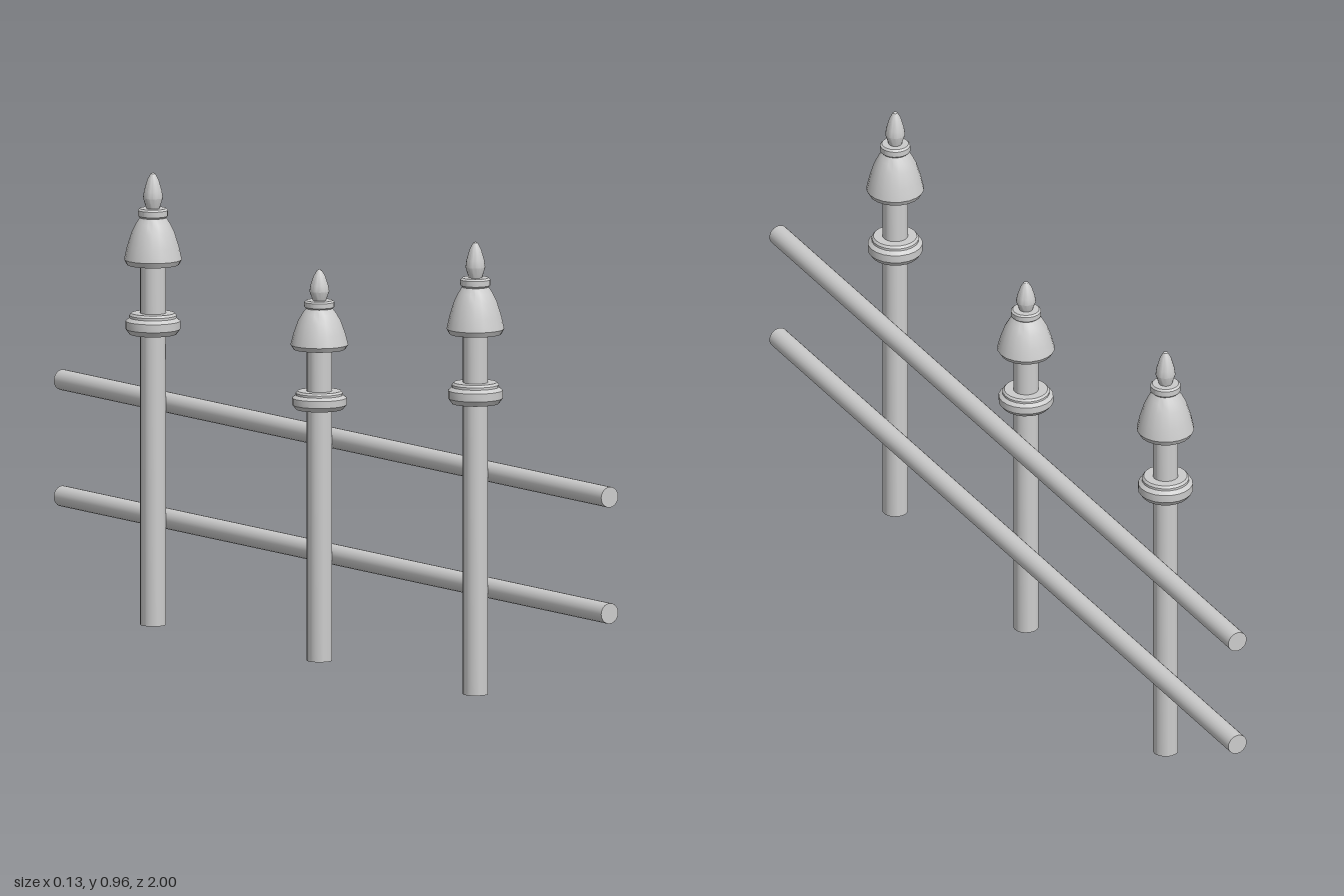
import * as THREE from 'three';
import { toCreasedNormals } from 'three/addons/utils/BufferGeometryUtils.js';

const material = new THREE.MeshStandardMaterial({ color: 0xcccccc });

// Closed profiles as [radius, height], listed from bottom to top
const POST_PARTS = {
  shaft: [[0, 0], [0.027, 0], [0.027, 0.78], [0, 0.78]],
  ring: [[0, 0.62], [0.05, 0.62], [0.058, 0.631], [0.058, 0.648], [0.05, 0.655], [0.05, 0.66], [0.046, 0.665], [0, 0.665]],
  bellCap: [[0, 0.768], [0.055, 0.768], [0.061, 0.779], [0.055, 0.806], [0.045, 0.838], [0.036, 0.856], [0.027, 0.87], [0, 0.87]],
  collar: [[0, 0.868], [0.028, 0.868], [0.032, 0.872], [0.032, 0.884], [0.028, 0.888], [0, 0.888]],
  finial: [[0, 0.886], [0.014, 0.888], [0.021, 0.91], [0.019, 0.925], [0.012, 0.949], [0.005, 0.962], [0, 0.965]],
};

function turned(name, profile) {
  const points = profile.map(([r, y]) => new THREE.Vector2(r, y));
  const geometry = toCreasedNormals(new THREE.LatheGeometry(points, 20), 0.5);
  const mesh = new THREE.Mesh(geometry, material);
  mesh.name = name;
  return mesh;
}

function createPost(name, z, heightScale) {
  const post = new THREE.Group();
  post.name = name;
  for (const [part, profile] of Object.entries(POST_PARTS)) post.add(turned(part, profile));
  post.position.set(-0.003, 0, z);
  post.scale.y = heightScale;
  return post;
}

export function createModel() {
  const fence = new THREE.Group();
  fence.name = 'fence';

  // Two tall outer posts and a shorter middle one
  fence.add(createPost('frontPost', 0.573, 1));
  fence.add(createPost('middlePost', 0.003, 0.865));
  fence.add(createPost('backPost', -0.605, 1));

  // Round rails running past the posts on the left side
  for (const [name, y] of [['lowerRail', 0.221], ['upperRail', 0.469]]) {
    const rail = new THREE.Mesh(new THREE.CylinderGeometry(0.022, 0.022, 2, 20), material);
    rail.name = name;
    rail.rotation.x = Math.PI / 2;
    rail.position.set(0.042, y, 0);
    fence.add(rail);
  }
  return fence;
}
